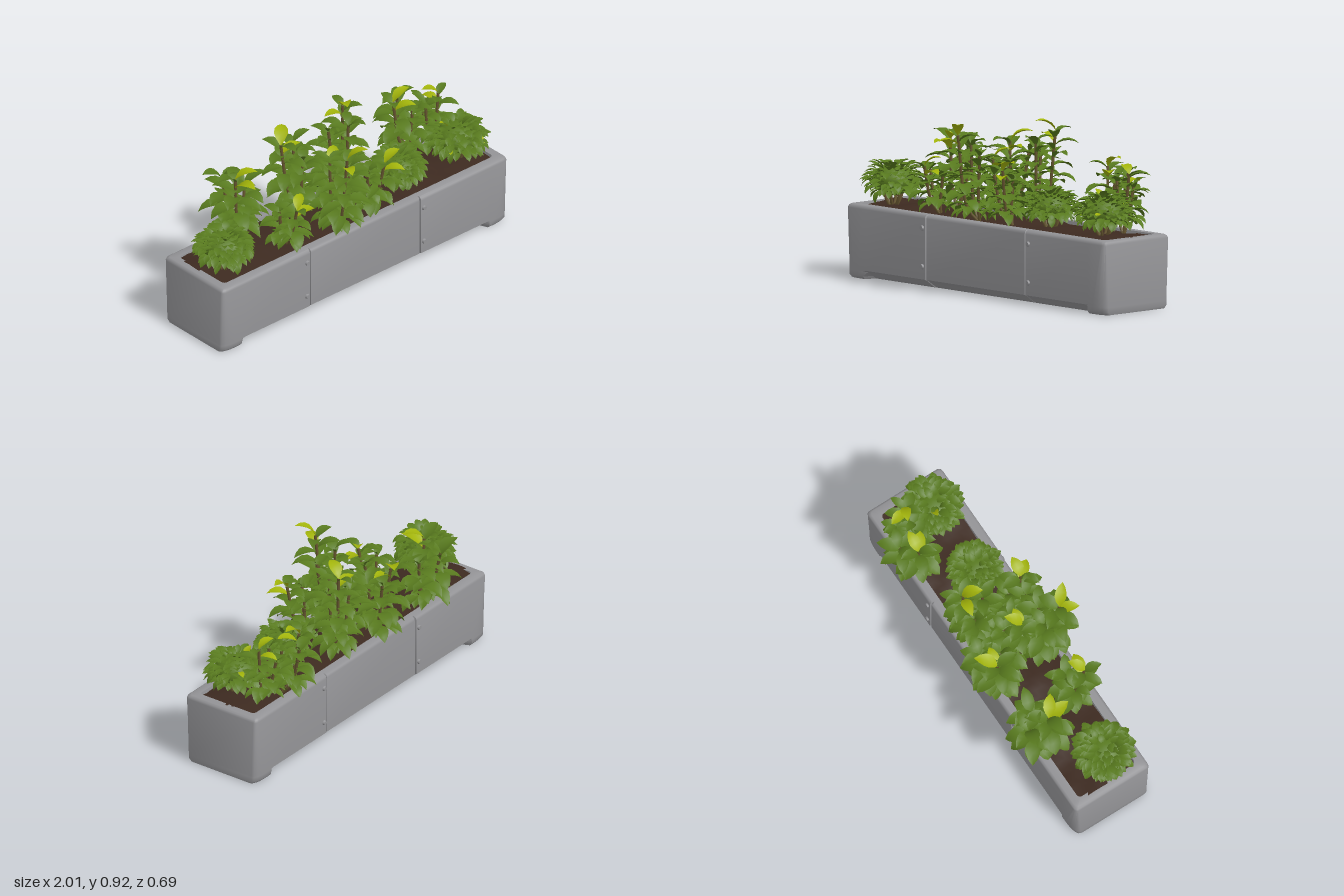
import * as THREE from 'three';
import { mergeGeometries, toCreasedNormals } from 'three/addons/utils/BufferGeometryUtils.js';

const mat = (name, color, side = THREE.FrontSide) => {
  const m = new THREE.MeshStandardMaterial({ color, side });
  m.name = name;
  return m;
};

// Surface through rows of points; closed joins each row's end to its start
function loft(rows, closed) {
  const n = rows[0].length, index = [];
  for (let j = 0; j < rows.length - 1; j++) {
    for (let i = 0; i < (closed ? n : n - 1); i++) {
      const a = j * n + i, b = j * n + (i + 1) % n;
      index.push(a, a + n, b, b, a + n, b + n);
    }
  }
  const g = new THREE.BufferGeometry();
  g.setAttribute('position', new THREE.Float32BufferAttribute(rows.flat(2), 3));
  g.setIndex(index);
  g.computeVertexNormals();
  return g;
}

// Plan outline of the planter at one height; the long sides step in at the
// middle panel behind a narrow seam, and tuck under between the feet by "arch"
function ring(y, hx, hz, rx, rz, arch = 0, step = 0.003) {
  const quarter = [];
  for (let k = 0; k <= 4; k++) {
    const a = k * Math.PI / 8;
    quarter.push([hx - rx + rx * Math.cos(a), hz - rz + rz * Math.sin(a)]);
  }
  for (const x of [0.87, 0.845, 0.39, 0.387, 0.383, 0.38]) {
    const inset = x < 0.382 ? step : x < 0.389 ? step * 4 : 0;
    quarter.push([x, hz - inset - (x < 0.86 ? arch : 0)]);
  }
  const half = [...quarter, ...quarter.slice().reverse().map(([x, z]) => [-x, z])];
  return [...half, ...half.map(([x, z]) => [-x, -z])].map(([x, z]) => [x, y, z + 0.007]);
}

// Folded, drooping oval leaf that grows outward along +x, upper side facing up
function leaf(len, width, elev, bend) {
  const shape = [0.12, 0.65, 1, 0.95, 0.6, 0.03], rows = [];
  let x = 0, y = 0;
  shape.forEach((s, i) => {
    const a = elev - bend * i / 5, h = s * width / 2, lift = h * 0.3;
    const ex = x - Math.sin(a) * lift, ey = y + Math.cos(a) * lift;
    rows.push([[ex, ey, h], [x, y, 0], [ex, ey, -h]]);
    x += Math.cos(a) * len / 5;
    y += Math.sin(a) * len / 5;
  });
  return loft(rows, false);
}

export function createModel() {
  const model = new THREE.Group();
  const grey = mat('planter grey', 0x939396);
  const soilBrown = mat('soil brown', 0x3d2a20);
  const green = mat('leaf green', 0x587a1e, THREE.DoubleSide);
  const lime = mat('young leaf lime', 0xa2b40a, THREE.DoubleSide);
  const bark = mat('stem brown', 0x65552f);

  let seed = 7;
  const rnd = (lo, hi) => {
    seed = (seed * 16807) % 2147483647;
    return lo + (hi - lo) * seed / 2147483647;
  };
  const add = (parent, name, geometry, material) => {
    const m = new THREE.Mesh(geometry, material);
    m.name = name;
    parent.add(m);
    return m;
  };

  // Planter shell: underside, outer wall, rim and inner wall
  const shell = loft([
    ring(0.004, 0.95, 0, 0.04, 0, 0, 0),
    ring(0, 0.997, 0.22, 0.08, 0.03, 0.06),
    ring(0.015, 1, 0.233, 0.09, 0.03, 0.05),
    ring(0.04, 1, 0.233, 0.09, 0.03, 0.015),
    ring(0.047, 1, 0.233, 0.09, 0.03),
    ring(0.37, 1, 0.233, 0.025, 0.02),
    ring(0.383, 0.996, 0.229, 0.025, 0.02),
    ring(0.39, 0.985, 0.218, 0.025, 0.02),
    ring(0.39, 0.945, 0.178, 0.02, 0.02, 0, 0),
    ring(0.33, 0.935, 0.168, 0.02, 0.02, 0, 0),
  ], true);
  add(model, 'planterShell', toCreasedNormals(shell, 0.9), grey);

  // Bolts beside the panel seams
  for (const side of [1, -1]) for (const x of [-0.41, 0.41]) for (const y of [0.115, 0.32]) {
    const bolt = add(model, 'bolt', new THREE.CylinderGeometry(0.011, 0.016, 0.016, 12), grey);
    bolt.rotation.x = side * Math.PI / 2;
    bolt.position.set(x, y, 0.007 + side * 0.235);
  }

  // Uneven soil, its edges buried in the walls
  const soil = new THREE.PlaneGeometry(1.92, 0.375, 48, 10).rotateX(-Math.PI / 2);
  const p = soil.attributes.position;
  for (let i = 0; i < p.count; i++) {
    const x = p.getX(i), z = p.getZ(i);
    const mound = 0.014 * Math.cos(z * 9) + 0.006 * Math.sin(x * 17 + z * 9) + 0.004 * Math.sin(x * 41 - z * 30);
    p.setY(i, 0.376 + mound);
  }
  soil.translate(0, 0, 0.007).computeVertexNormals();
  add(model, 'soil', soil, soilBrown);

  const V = (x, y, z) => new THREE.Vector3(x, y, z);
  const stem = (curve, r) => new THREE.TubeGeometry(curve, 8, r, 6);
  const finish = (name, stems, greens, limes) => {
    const g = new THREE.Group();
    g.name = name;
    add(g, 'stems', mergeGeometries(stems), bark);
    add(g, 'leaves', mergeGeometries(greens), green);
    if (limes.length) add(g, 'youngLeaves', mergeGeometries(limes), lime);
    model.add(g);
  };

  // Tall plants: three leaning branches under a wide crown of drooping leaves
  // x, z, top height, spread, direction of the tallest branch
  const tall = [
    [-0.55, -0.18, 0.78, 0.18, 2.2], [-0.44, 0.14, 0.68, 0.15, 1.6],
    [-0.14, -0.18, 0.80, 0.18, 3.4], [-0.11, 0.18, 0.88, 0.175, 1.9],
    [0.14, -0.12, 0.90, 0.165, -0.6], [0.13, 0.16, 0.72, 0.15, 0.8],
    [-0.02, 0.02, 0.74, 0.15, 2.5],
    [0.63, -0.19, 0.75, 0.165, 3.0], [0.77, -0.13, 0.74, 0.14, 0.5],
  ];
  for (const [x, z, top, spread, turn] of tall) {
    const stems = [], greens = [], limes = [];
    for (let b = 0; b < 3; b++) {
      const dir = turn + b * 2.1, out = spread * 0.38;
      const tip = V(x + Math.cos(dir) * out, 0.42 + (top - 0.46) * (1 - b * 0.13), z + Math.sin(dir) * out);
      const curve = new THREE.CatmullRomCurve3([
        V(x + 0.02, 0.37, z * 0.7), V(x + Math.cos(dir) * out * 0.5, 0.45, z * 0.85 + Math.sin(dir) * out * 0.5), tip]);
      stems.push(stem(curve, 0.008));
      const count = Math.round((tip.y - 0.36) * 52);
      for (let i = 0; i < count; i++) {
        const t = i / (count - 1), at = curve.getPoint(0.42 + 0.58 * t);
        const len = spread * rnd(0.76, 0.95) * (0.85 + 0.15 * Math.sin(t * Math.PI));
        const g = leaf(len, len * rnd(0.45, 0.55), 0.2 + 0.65 * t * t + rnd(-0.1, 0.25), 1.5 - 0.2 * t);
        g.rotateY(i * 2.4 - dir + rnd(-0.25, 0.25)).translate(at.x, at.y, at.z);
        (b === 0 && (i === count - 1 || i === count - 4) ? limes : greens).push(g);
      }
    }
    finish('tallPlant', stems, greens, limes);
  }

  // Low bushes: a leafy dome bristling with small, uneven leaves
  // x, z, centre height, radius, half height
  const bushes = [[-0.83, 0.06, 0.515, 0.165, 0.095], [0.39, 0.06, 0.5, 0.15, 0.085], [0.8, 0.06, 0.515, 0.165, 0.095]];
  for (const [x, z, cy, r, h] of bushes) {
    const core = new THREE.SphereGeometry(1, 14, 10).scale(r * 0.7, h * 0.85, r * 0.7).translate(x, cy, z);
    core.deleteAttribute('uv');
    const greens = [core], limes = [], stems = [];
    const count = 170;
    for (let i = 0; i < count; i++) {
      const up = 1 - 1.75 * (i + 0.5) / count, flat = Math.sqrt(1 - up * up), a = i * 2.39996;
      const len = r * rnd(0.28, 0.52);
      const g = leaf(len, len * rnd(0.5, 0.65), Math.asin(up) * 0.5 + rnd(-0.1, 0.6), rnd(0.7, 1.4));
      g.rotateY(-a + rnd(-0.5, 0.5)).translate(
        x + Math.cos(a) * flat * r * 0.64, cy + up * h * 0.78, z + Math.sin(a) * flat * r * 0.64);
      (x > 0.7 && i % 40 === 12 ? limes : greens).push(g);
    }
    for (let k = 0; k < 6; k++) {
      const c = Math.cos(k * 1.05), s = Math.sin(k * 1.05);
      stems.push(stem(new THREE.CatmullRomCurve3([V(x + c * 0.02, 0.38, z + s * 0.02),
        V(x + c * 0.04, 0.42, z + s * 0.04), V(x + c * 0.06, cy, z + s * 0.06)]), 0.008));
    }
    finish('bush', stems, greens, limes);
  }
  return model;
}
